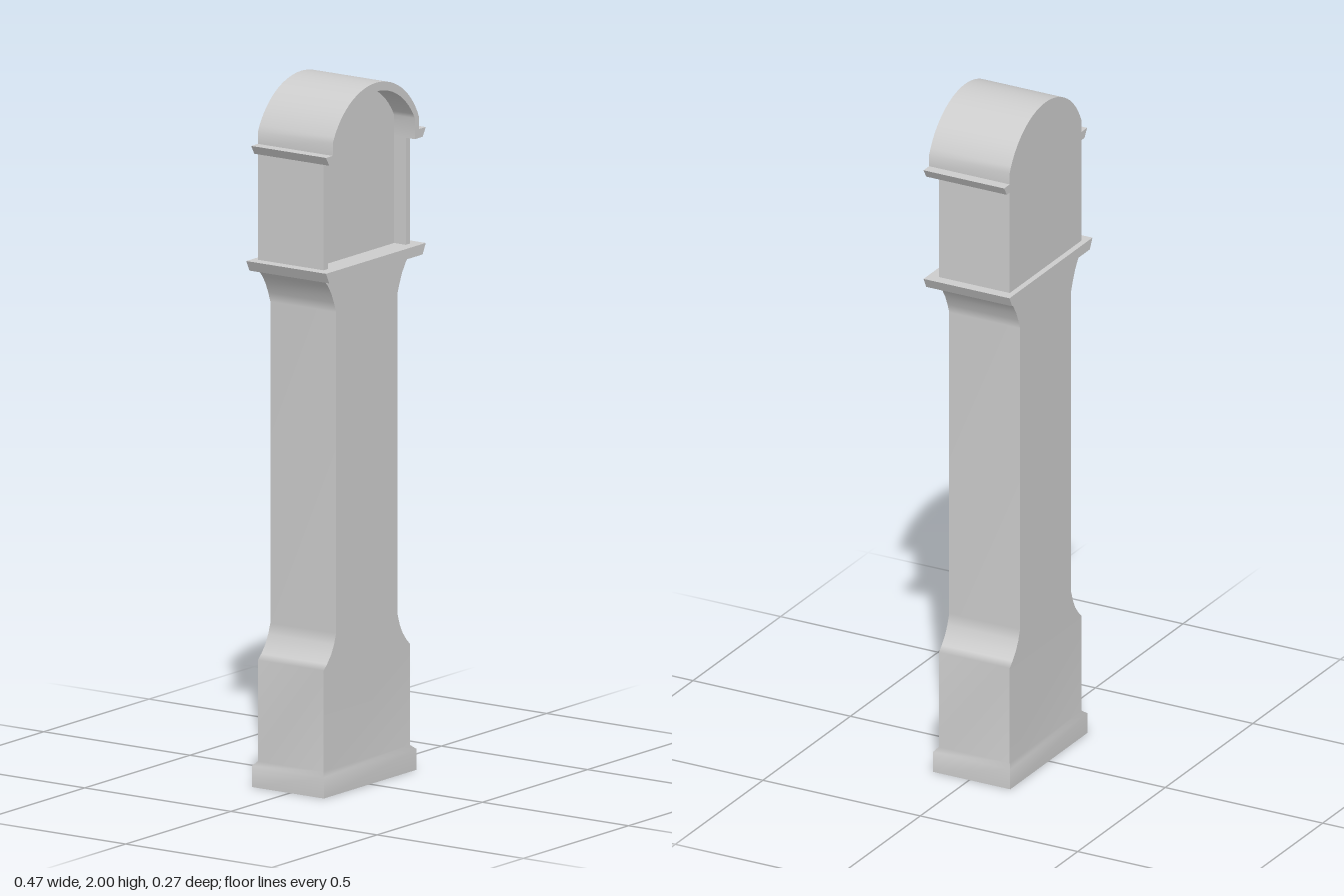
import * as THREE from 'three';
import { toCreasedNormals } from 'three/addons/utils/BufferGeometryUtils.js';

const BACK = -0.12, FRONT = 0.105, LIP = 0.136;

export function createModel() {
  const group = new THREE.Group();
  const grey = new THREE.MeshStandardMaterial({ color: 0xcccccc, side: THREE.DoubleSide });
  grey.name = 'plain grey';

  const add = (name, geometry) => {
    const mesh = new THREE.Mesh(geometry, grey);
    mesh.name = name;
    group.add(mesh);
    return mesh;
  };

  // Extrude a front outline between two z positions
  const slab = (name, shape, z0, z1) => {
    const g = new THREE.ExtrudeGeometry(shape, { depth: z1 - z0, bevelEnabled: false, curveSegments: 14 });
    g.translate(0, 0, z0);
    return add(name, toCreasedNormals(g, 0.62));
  };

  // Shallow arch between (-w, spring) and (w, spring), left to right or back
  const arch = (shape, w, spring, top, leftToRight) => {
    const rise = top - spring;
    const r = (w * w + rise * rise) / (2 * rise);
    const cy = top - r;
    const a = Math.atan2(spring - cy, w);
    if (leftToRight) shape.absarc(0, cy, r, Math.PI - a, a, true);
    else shape.absarc(0, cy, r, a, Math.PI - a, false);
  };

  // Tall case: rows of [y, half width, front z, back z], open at the bottom
  const rows = [
    [0, 0.22, 0.116, -0.13], [0.06, 0.22, 0.116, -0.13], [0.072, 0.205, FRONT, BACK],
    [0.36, 0.205, FRONT, BACK], [0.375, 0.189, FRONT, BACK], [0.398, 0.17, FRONT, BACK],
    [0.425, 0.156, FRONT, BACK], [0.455, 0.146, FRONT, BACK],
    [1.37, 0.146, FRONT, BACK], [1.398, 0.156, FRONT, BACK], [1.425, 0.168, FRONT, BACK],
    [1.45, 0.184, FRONT, BACK], [1.47, 0.203, FRONT, BACK],
  ];
  const corners = ([y, w, f, b]) => [[-w, y, f], [w, y, f], [w, y, b], [-w, y, b]];
  const positions = [], indices = [];
  for (let side = 0; side < 4; side++) {
    const start = positions.length / 3;
    rows.forEach((row, i) => {
      const c = corners(row);
      positions.push(...c[side], ...c[(side + 1) % 4]);
      if (i === 0) return;
      const k = start + 2 * (i - 1);
      indices.push(k, k + 1, k + 3, k, k + 3, k + 2);
    });
  }
  const caseGeometry = new THREE.BufferGeometry();
  caseGeometry.setAttribute('position', new THREE.Float32BufferAttribute(positions, 3));
  caseGeometry.setIndex(indices);
  caseGeometry.computeVertexNormals();
  add('tallCase', caseGeometry);

  // Flared shelf under the hood
  const shelf = new THREE.Shape([
    [-0.222, 1.47], [0.222, 1.47], [0.237, 1.5], [-0.237, 1.5],
  ].map(([x, y]) => new THREE.Vector2(x, y)));
  slab('hoodShelf', shelf, -0.137, LIP);

  // Hood side walls, standing proud of the recessed face
  for (const s of [-1, 1]) {
    const wall = add(s > 0 ? 'hoodWallLeft' : 'hoodWallRight',
      new THREE.BoxGeometry(0.02, 0.306, FRONT - BACK));
    wall.position.set(s * 0.195, 1.653, (FRONT + BACK) / 2);
  }

  // Arched face block filling the hood to the back
  const face = new THREE.Shape();
  face.moveTo(0.185, 1.5);
  face.lineTo(0.185, 1.865);
  arch(face, 0.185, 1.865, 1.975, false);
  face.lineTo(-0.185, 1.5);
  face.closePath();
  slab('hoodFace', face, BACK, 0.065);

  // Arched roof with flared cornice ends
  const roof = new THREE.Shape();
  roof.moveTo(-0.185, 1.805);
  roof.lineTo(-0.222, 1.805);
  roof.lineTo(-0.237, 1.83);
  roof.lineTo(-0.205, 1.83);
  roof.lineTo(-0.205, 1.865);
  arch(roof, 0.205, 1.865, 2, true);
  roof.lineTo(0.205, 1.83);
  roof.lineTo(0.237, 1.83);
  roof.lineTo(0.222, 1.805);
  roof.lineTo(0.185, 1.805);
  roof.lineTo(0.185, 1.865);
  arch(roof, 0.185, 1.865, 1.975, false);
  roof.closePath();
  slab('archedRoof', roof, BACK, LIP);

  return group;
}
